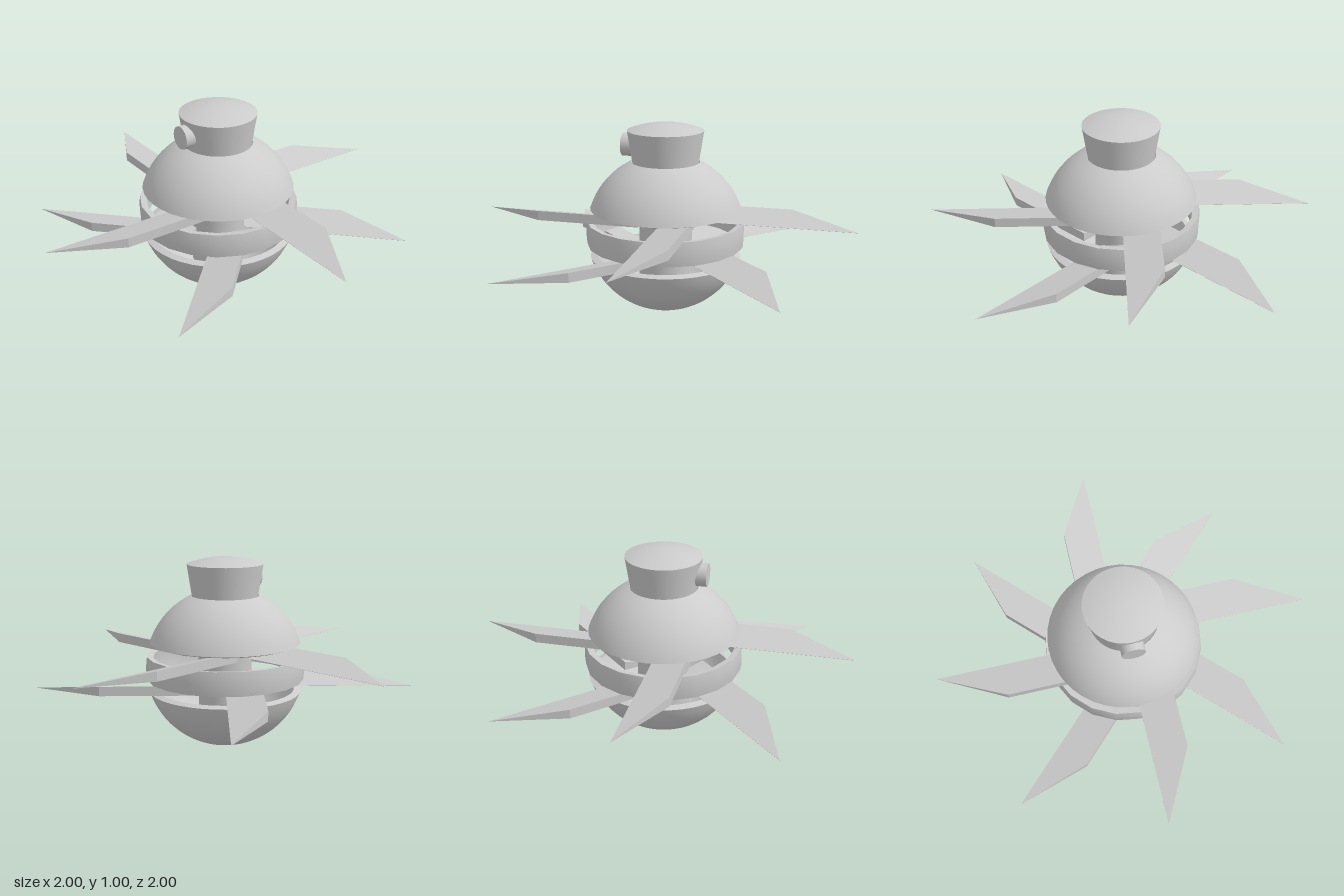
import * as THREE from 'three';
import { toCreasedNormals } from 'three/addons/utils/BufferGeometryUtils.js';

const OUTER = 0.42, INNER = 0.385, CENTRE_Y = 0.425;

export function createModel() {
  const model = new THREE.Group();
  const material = new THREE.MeshStandardMaterial({ color: 0xcccccc, side: THREE.DoubleSide });

  const add = (name, geometry) => {
    const mesh = new THREE.Mesh(geometry, material);
    mesh.name = name;
    model.add(mesh);
    return mesh;
  };
  const lathe = (points, segments) => toCreasedNormals(
    new THREE.LatheGeometry(points.map(([r, y]) => new THREE.Vector2(r, y)), segments), 0.6);

  // Thick slice of a hollow sphere between two latitudes, with radial cuts
  const shell = (from, to, steps, segments) => {
    const points = [];
    const arc = (radius, a, b) => {
      for (let i = 0; i <= steps; i++) {
        const t = a + (b - a) * i / steps;
        points.push([Math.max(0, radius * Math.cos(t)), CENTRE_Y + radius * Math.sin(t)]);
      }
    };
    arc(OUTER, from, to);
    arc(INNER, to, from);
    points.push(points[0]);
    return lathe(points, segments);
  };
  const latitude = (y) => Math.asin((y - CENTRE_Y) / OUTER);

  // Body: bowl, middle ring and upper dome
  add('lowerBowl', shell(-Math.PI / 2, latitude(0.298), 14, 40));
  add('middleRing', shell(latitude(0.365), latitude(0.49), 4, 20));
  add('upperDome', shell(latitude(0.56), latitude(0.805), 10, 40));

  // Core running up through the body into the flared neck and domed cap
  const core = [[0, 0.12], [0.14, 0.12], [0.14, 0.55], [0.175, 0.81], [0.2, 0.97]];
  for (let i = 1; i <= 6; i++) {
    const t = i / 6;
    core.push([0.2 * (1 - t), 0.97 + 0.037 * (1 - (1 - t) ** 2)]);
  }
  add('coreAndHead', lathe(core, 40));

  // Round eye on the front of the head
  const eye = add('eye', new THREE.CylinderGeometry(0.06, 0.06, 0.1, 24));
  eye.rotation.x = Math.PI / 2;
  eye.position.set(0, 0.885, 0.18);

  // Wedge blade: sharp leading edge, thick trailing edge, slanted tip
  let blade = new THREE.BoxGeometry(1, 1, 1).toNonIndexed();
  const p = blade.attributes.position;
  for (let i = 0; i < p.count; i++) {
    const back = p.getZ(i) < 0;
    const x = p.getX(i) < 0 ? 0.1 : back ? 0.65 : 1;
    const y = p.getY(i) < 0 ? 0 : back ? 0.05 : 0.001;
    p.setXYZ(i, x, y, back ? -0.183 : 0);
  }
  blade.computeVertexNormals();

  // Two tiers of four blades, turned 45 degrees from each other
  [['upperBlade', 0.49, 0], ['lowerBlade', 0.312, Math.PI / 4]].forEach(([name, y, turn]) => {
    for (let i = 0; i < 4; i++) {
      const mesh = add(name + (i + 1), blade);
      mesh.position.y = y;
      mesh.rotation.y = turn + i * Math.PI / 2;
    }
  });

  return model;
}
